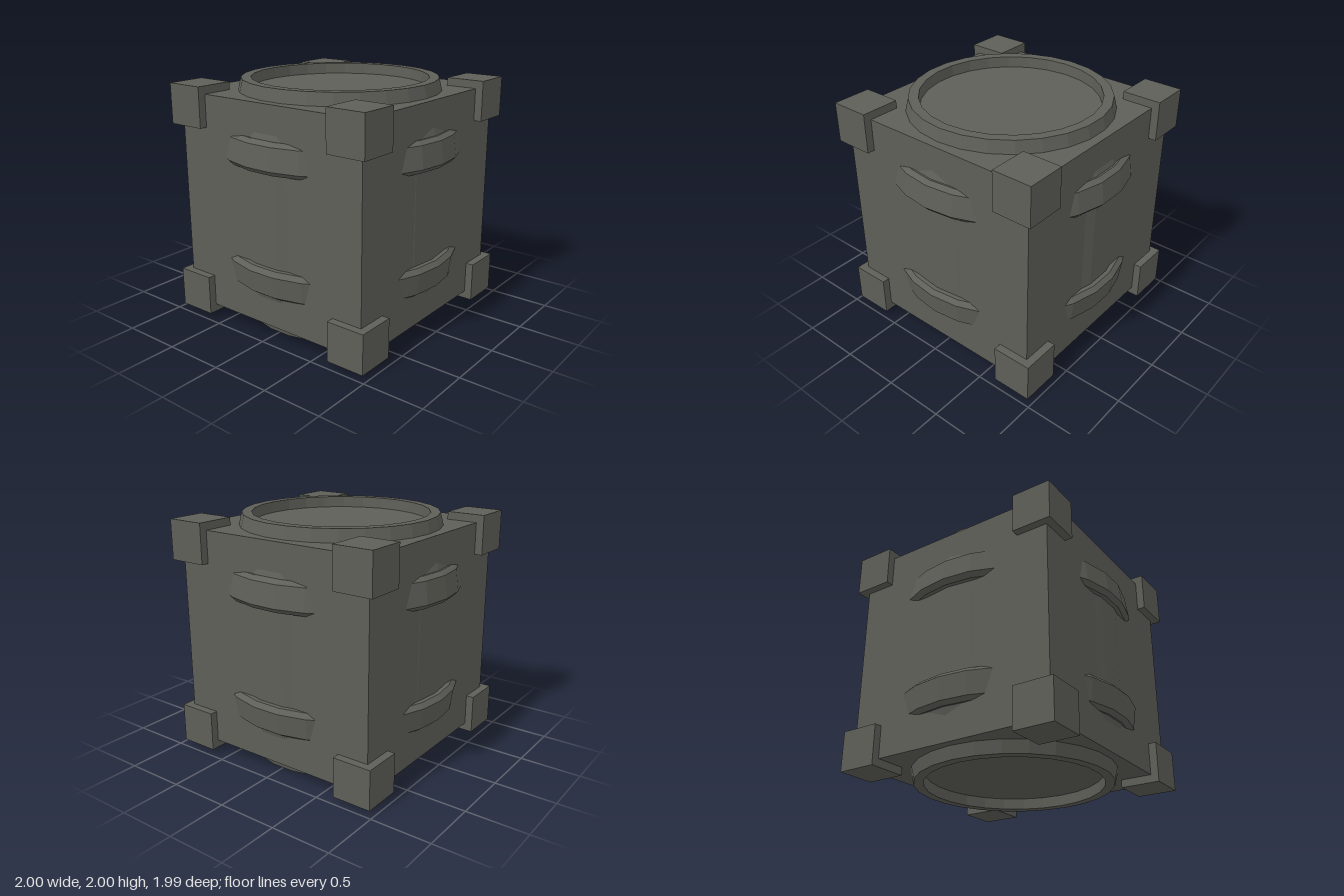
import * as THREE from 'three';

const SIDES = 26;

export function createModel() {
  const model = new THREE.Group();
  const darkGrey = new THREE.MeshStandardMaterial({ color: 0x5f5f59 });
  darkGrey.name = 'dark grey';
  darkGrey.flatShading = true;

  const add = (name, geometry, x = 0, y = 0, z = 0) => {
    const mesh = new THREE.Mesh(geometry, darkGrey);
    mesh.name = name;
    mesh.position.set(x, y, z);
    model.add(mesh);
  };

  // Profile listed as [radius, height above the middle], from bottom to top
  const lathe = (profile) => new THREE.LatheGeometry(
    profile.map(([r, y]) => new THREE.Vector2(r, y)), SIDES
  ).rotateY(Math.PI / 2);

  // Cube body
  add('body', new THREE.BoxGeometry(1.8, 1.8, 1.8), 0, 1, 0);

  // Barrel through the cube, with a raised rim and recessed lid at each end
  const upper = [[0.93, 0.38], [0.93, 0.6], [0.83, 0.9], [0.805, 1], [0.725, 1], [0.72, 0.91], [0, 0.91]];
  const lower = upper.map(([r, y]) => [r, -y]).reverse();
  add('barrel', lathe([...lower, ...upper]), 0, 1, 0);

  // Two bevelled hoops, mirrored about the middle
  const hoop = [[0.88, 0.38], [0.965, 0.382], [1, 0.42], [0.975, 0.6], [0.935, 0.628], [0.88, 0.628]];
  add('upperHoop', lathe(hoop), 0, 1, 0);
  add('lowerHoop', lathe(hoop.map(([r, y]) => [r, -y]).reverse()), 0, 1, 0);

  // Corner blocks
  for (const x of [-1, 1]) for (const y of [-1, 1]) for (const z of [-1, 1]) {
    add('cornerBlock', new THREE.BoxGeometry(0.33, 0.33, 0.33), x * 0.8, 1 + y * 0.8, z * 0.8);
  }

  return model;
}
